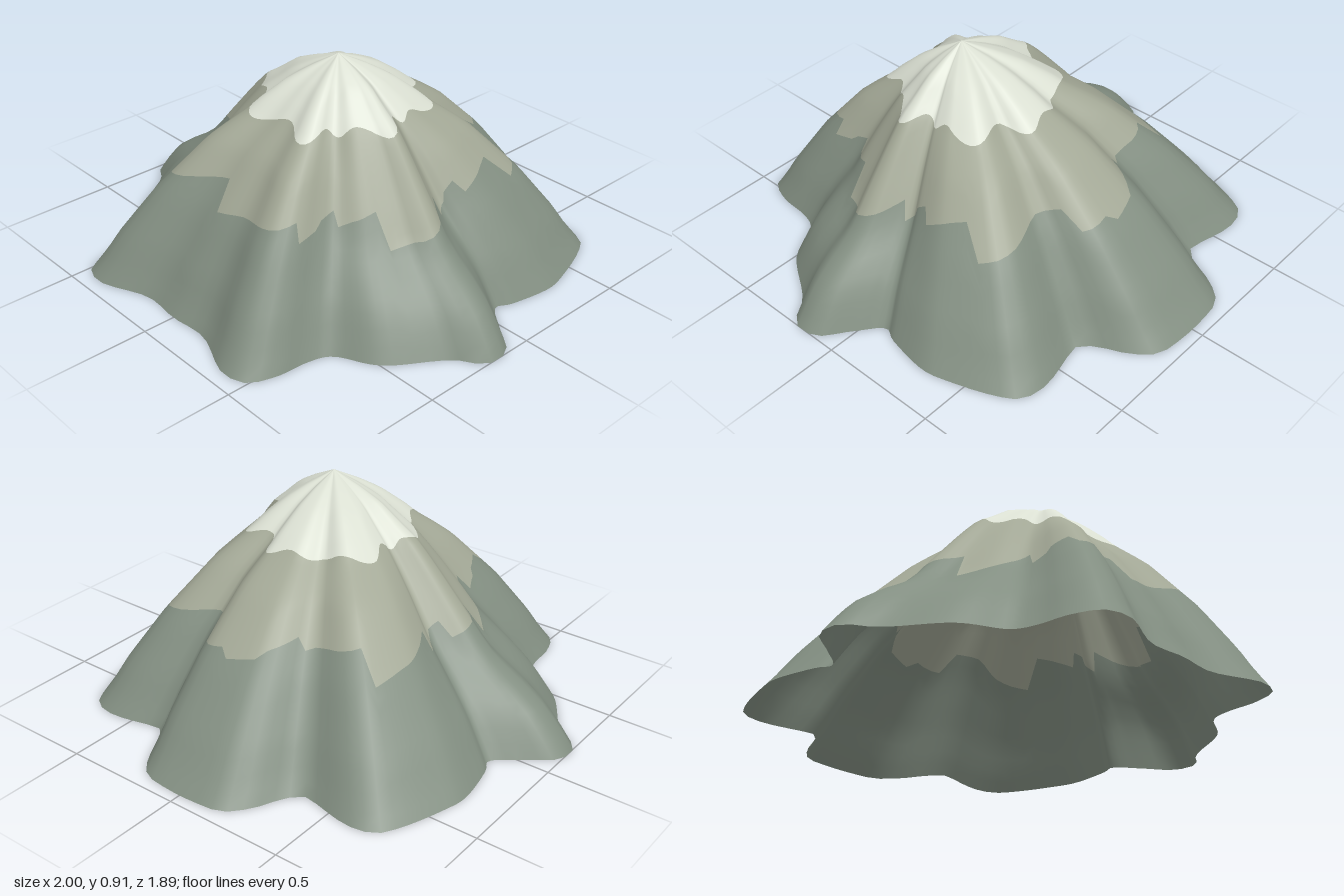
import * as THREE from 'three';

// Half of the base outline from back to front: x, z, and how much of the side profile applies
const HALF = [
  [0.09, -0.95, 0], [0.19, -0.93, 0], [0.265, -0.845, 0], [0.315, -0.74, 0], [0.365, -0.68, 0],
  [0.48, -0.70, 0], [0.6, -0.72, 0], [0.7, -0.695, 0], [0.76, -0.6, 0.05], [0.82, -0.43, 0.1],
  [0.84, -0.34, 0.2], [0.81, -0.14, 0.5], [0.785, -0.07, 0.7], [0.89, 0.02, 0.9],
  [0.995, 0.11, 1], [0.995, 0.21, 1], [0.9, 0.28, 1], [0.75, 0.49, 0.8], [0.585, 0.59, 0.5],
  [0.55, 0.68, 0.3], [0.535, 0.82, 0.1], [0.485, 0.92, 0], [0.39, 0.94, 0],
  [0.17, 0.86, 0], [0, 0.87, 0],
];
// Slope profiles: distance from the summit axis (0 to 1), main height, height on the side ridges
const PROFILE = [
  [0, 0.91, 0.91], [0.11, 0.86, 0.865], [0.2, 0.81, 0.82], [0.3, 0.735, 0.74], [0.35, 0.69, 0.705],
  [0.4, 0.655, 0.65], [0.45, 0.62, 0.59], [0.51, 0.575, 0.515], [0.57, 0.515, 0.44], [0.65, 0.435, 0.335],
  [0.72, 0.365, 0.275], [0.8, 0.265, 0.22], [0.88, 0.165, 0.155], [0.94, 0.075, 0.085], [1, 0, 0],
];
const PEAK = { x: 0.12, z: 0.13 };
const COLS = 144;
const ROWS = 10; // rows in each colour band

function heightAt(s, side) {
  let k = 1;
  while (k < PROFILE.length - 1 && s > PROFILE[k][0]) k++;
  const [s0, main0, side0] = PROFILE[k - 1];
  const [s1, main1, side1] = PROFILE[k];
  const t = (s - s0) / (s1 - s0);
  const { lerp } = THREE.MathUtils;
  return lerp(lerp(main0, main1, t), lerp(side0, side1, t), side);
}

function outline() {
  const right = HALF.map(([x, z, w]) => new THREE.Vector3(x, w, z));
  const left = HALF.slice(0, -1).reverse().map(([x, z, w]) => new THREE.Vector3(-x, w, z));
  return new THREE.CatmullRomCurve3([...right, ...left], true, 'centripetal').getSpacedPoints(COLS).slice(0, COLS);
}

export function createModel() {
  const group = new THREE.Group();
  group.name = 'mountain';
  const rim = outline();
  const positions = [];
  const jag = [0.03, -0.01, 0.02, 0.05, -0.03, 0, -0.02];

  // Rings from summit to foot; two of them follow the snow line and the jagged tree line
  for (let i = 0; i <= ROWS * 3; i++) {
    const band = Math.min(2, Math.floor(i / ROWS));
    const t = i / ROWS - band;
    rim.forEach((p, j) => {
      const snow = 0.35 + 0.02 * Math.sin(j / COLS * Math.PI * 2 * 12);
      const trees = 0.63 - 0.04 * p.y + jag[Math.floor(j / 4) % 7] + 0.008 * (j % 4);
      const stops = [0, snow, trees, 1];
      const s = THREE.MathUtils.lerp(stops[band], stops[band + 1], t);
      positions.push(
        PEAK.x + (p.x - PEAK.x) * s,
        heightAt(s, p.y),
        PEAK.z + (p.z - PEAK.z) * s,
      );
    });
  }

  function bandIndex(from, to) {
    const index = [];
    for (let i = from; i < to; i++) {
      for (let j = 0; j < COLS; j++) {
        const k = (j + 1) % COLS;
        const a = i * COLS + j, b = a + COLS, c = (i + 1) * COLS + k, d = i * COLS + k;
        index.push(a, c, b, a, d, c);
      }
    }
    return index;
  }

  // Normals come from the whole slope so the bands join smoothly
  const whole = new THREE.BufferGeometry();
  whole.setAttribute('position', new THREE.Float32BufferAttribute(positions, 3));
  whole.setIndex(bandIndex(0, ROWS * 3));
  whole.computeVertexNormals();

  const bands = [['snowCap', 0xdadfd2], ['rockySlope', 0xa3a896], ['lowerSlope', 0x838f82]];
  bands.forEach(([name, color], n) => {
    const geometry = new THREE.BufferGeometry();
    geometry.setAttribute('position', whole.attributes.position);
    geometry.setAttribute('normal', whole.attributes.normal);
    geometry.setIndex(bandIndex(n * ROWS, (n + 1) * ROWS));
    const mesh = new THREE.Mesh(geometry, new THREE.MeshStandardMaterial({ color, side: THREE.DoubleSide }));
    mesh.name = name;
    group.add(mesh);
  });
  return group;
}
